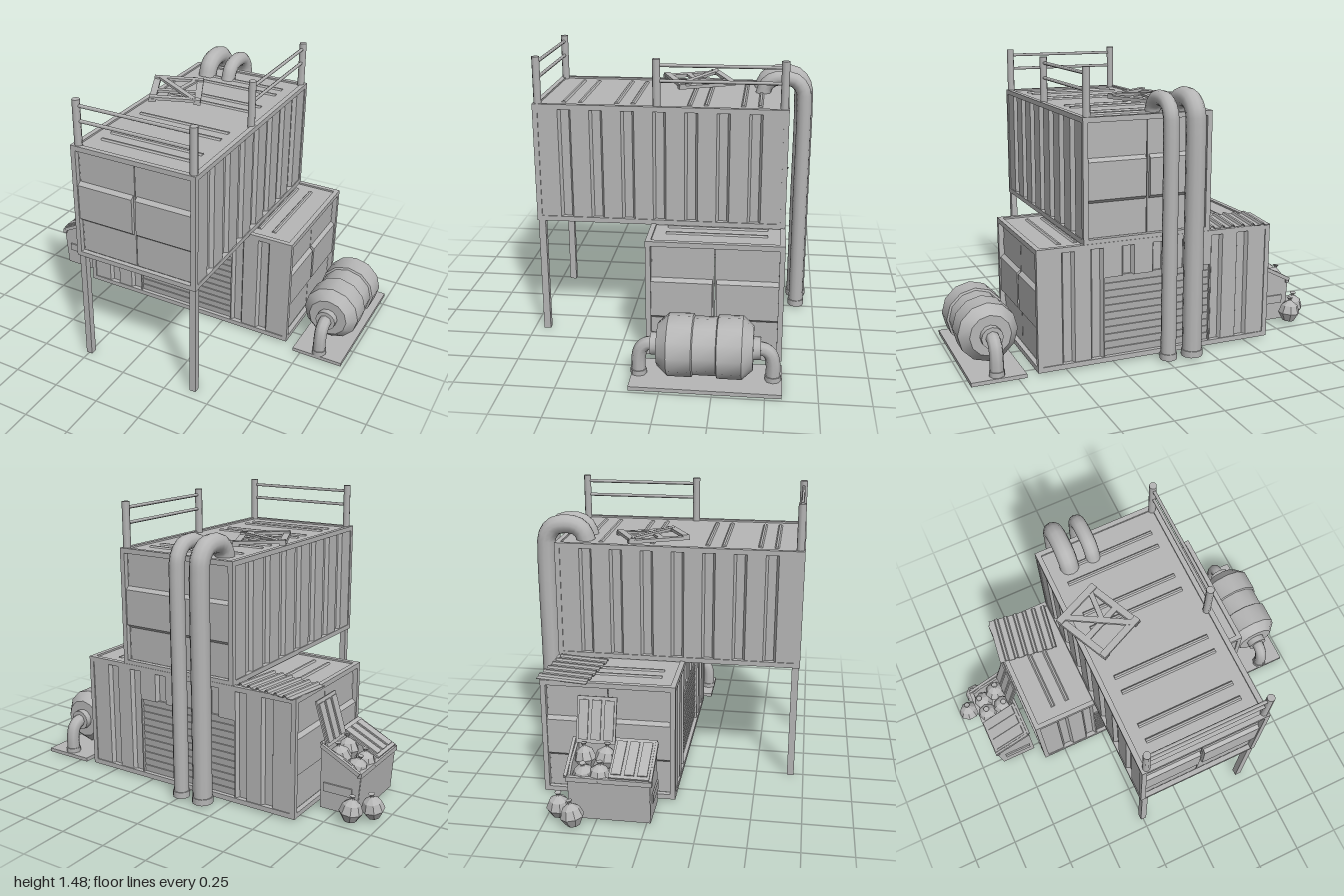
import * as THREE from 'three';
import { toCreasedNormals } from 'three/addons/utils/BufferGeometryUtils.js';

const grey = new THREE.MeshStandardMaterial({ color: 0xb6b6b6, side: THREE.DoubleSide });
grey.name = 'plainGrey';

const V = (x, y, z) => new THREE.Vector3(x, y, z);
function add(parent, name, geo, x = 0, y = 0, z = 0) {
  const m = new THREE.Mesh(geo, grey);
  m.name = name;
  m.position.set(x, y, z);
  parent.add(m);
  return m;
}
const box = (p, name, w, h, d, x, y, z) => add(p, name, new THREE.BoxGeometry(w, h, d), x, y, z);
function group(parent, name, x = 0, y = 0, z = 0, ry = 0) {
  const g = new THREE.Group();
  g.name = name;
  g.position.set(x, y, z);
  g.rotation.y = ry;
  parent.add(g);
  return g;
}
function polyShape(pts) {
  return new THREE.Shape(pts.map(([x, y]) => new THREE.Vector2(x, y)));
}
const extrude = (pts, depth) => new THREE.ExtrudeGeometry(polyShape(pts), { depth, bevelEnabled: false });

// Corrugated wall facing +z, grooves sunk inwards at the given centres
function corrugated(p, u0, u1, y0, y1, grooves, z) {
  const d = 0.02, w = 0.033, pts = [[u0, 0]];
  for (const c of grooves) pts.push([c - w, 0], [c - w + 0.012, d], [c + w - 0.012, d], [c + w, 0]);
  pts.push([u1, 0], [u1, d + 0.005], [u0, d + 0.005]);
  add(p, 'corrugatedWall', extrude(pts, y1 - y0).rotateX(-Math.PI / 2), 0, y0, z);
}

// Shipping container: long axis x, standing on y = 0
const L = 1.28, W = 0.685, H = 0.62, T = 0.026;
function container(parent, name, hasDoors) {
  const g = group(parent, name);
  const a = L / 2 - T / 2, b = W / 2 - T / 2;
  for (const s of [-1, 1]) {
    for (const y of [T / 2, H - T / 2]) {
      box(g, 'longRail', L, T, T, 0, y, s * b);
      box(g, 'crossRail', T, T, W - 2 * T, s * a, y, 0);
    }
    for (const t of [-1, 1]) box(g, 'cornerPost', T, H - 2 * T, T, s * a, H / 2, t * b);

    // long side
    const side = group(g, 'longSide', 0, 0, 0, s > 0 ? 0 : Math.PI);
    const e = L / 2 - T, z = W / 2 - 0.005, lo = T, hi = H - T;
    if (hasDoors) {
      corrugated(side, -e, -0.29, lo, hi, [-0.48, -0.33], z);
      corrugated(side, 0.29, e, lo, hi, [0.33, 0.48], z);
      corrugated(side, -0.29, 0.29, 0.44, hi, [-0.165, 0, 0.165], z);
      box(side, 'rollerDoorBacking', 0.58, 0.42, 0.006, 0, 0.23, z - 0.025);
      for (let i = 0; i < 11; i++) {
        const slat = box(side, 'rollerDoorSlat', 0.58, 0.037, 0.008, 0, 0.046 + i * 0.038, z - 0.017);
        slat.rotation.x = 0.12;
      }
    } else {
      corrugated(side, -e, e, lo, hi, [-0.48, -0.32, -0.16, 0, 0.16, 0.32, 0.48], z);
    }

    // end doors, each with a raised, sloped middle panel
    const end = group(g, 'doorEnd', 0, 0, 0, s * Math.PI / 2);
    const half = W / 2 - T;
    for (const t of [-1, 1]) {
      box(end, 'doorLeaf', half - 0.002, H - 2 * T, 0.01, t * (half / 2 + 0.001), H / 2, L / 2 - 0.032);
      const bump = extrude([[0, 0.2], [0.02, 0.217], [0.02, 0.403], [0, 0.42]], half - 0.01);
      bump.rotateY(-Math.PI / 2);
      add(end, 'doorPanel', bump, t > 0 ? half : -0.01, 0, L / 2 - 0.027);
    }
  }
  // roof with pairs of ribs
  box(g, 'roof', L - 2 * T, 0.01, W - 2 * T, 0, H - 0.014, 0);
  for (const c of [-0.455, -0.185, 0.185, 0.455]) for (const s of [-1, 1]) {
    const rib = extrude([[-0.012, 0], [0.012, 0], [0.005, 0.008], [-0.005, 0.008]], 0.51);
    add(g, 'roofRib', rib, c + s * 0.042, H - 0.009, -0.255);
  }
  return g;
}

const rod = (p, name, r, a, b, n = 8) => {
  const m = add(p, name, new THREE.CylinderGeometry(r, r, a.distanceTo(b), n));
  m.position.copy(a).add(b).multiplyScalar(0.5);
  m.quaternion.setFromUnitVectors(V(0, 1, 0), b.clone().sub(a).normalize());
  return m;
};
const tube = (p, name, pts, r, seg, n) =>
  add(p, name, new THREE.TubeGeometry(new THREE.CatmullRomCurve3(pts, false, 'centripetal'), seg, r, n));

// Tied rubbish bag
function bag(p, x, y, z, r, turn) {
  const g = group(p, 'rubbishBag', x, y, z, turn);
  g.rotation.z = 0.25 * Math.cos(turn * 3);
  const profile = [[0, -0.95], [0.55, -0.85], [1, -0.1], [0.75, 0.6], [0.2, 1], [0.14, 1.1], [0.28, 1.3], [0, 1.25]];
  const geo = new THREE.LatheGeometry(profile.map(([a, b]) => new THREE.Vector2(a * r, b * r)), 8);
  add(g, 'bag', toCreasedNormals(geo, 0.3));
}

export function createModel() {
  const model = new THREE.Group();
  model.name = 'containerBuilding';

  // Stacked containers
  container(model, 'lowerContainer', true).position.set(0.01, 0.01, -0.235);
  const upper = container(model, 'upperContainer', false);
  upper.position.set(0.067, 0.625, 0.065);
  upper.rotation.y = -Math.PI / 2;
  box(upper, 'floor', L - 2 * T, 0.01, W - 2 * T, 0, 0.012, 0);

  // Support legs
  for (const x of [-0.248, 0.39]) box(model, 'supportLeg', 0.034, 0.625, 0.036, x, 0.3125, 0.682);

  // Roof railings
  const railing = (a, b) => {
    for (const q of [a, b]) rod(model, 'railingPost', 0.02, V(q.x, 1.23, q.z), V(q.x, 1.48, q.z));
    for (const y of [1.37, 1.448]) rod(model, 'railingBar', 0.009, V(a.x, y, a.z), V(b.x, y, b.z), 6);
  };
  railing(V(-0.243, 0, 0.68), V(0.387, 0, 0.68));
  railing(V(0.382, 0, 0.08), V(0.382, 0, -0.55));

  // Vent pipes up the back and over the roof edge
  for (const [x, r] of [[-0.142, 0.05], [-0.01, 0.039]]) {
    const path = [[-0.655, 0.02], [-0.655, 0.6], [-0.655, 1.18], [-0.648, 1.25], [-0.61, 1.3],
      [-0.55, 1.314], [-0.49, 1.307], [-0.452, 1.275], [-0.435, 1.225]];
    tube(model, 'ventPipe', path.map(([z, y]) => V(x, y, z)), r, 48, 12);
    rod(model, 'pipeCollar', r + 0.005, V(x, 0.012, -0.655), V(x, 0.045, -0.655), 12);
  }

  // Storage tank on its base plate
  const tank = group(model, 'storageTank', 0.845, 0.185, -0.21);
  box(tank, 'basePlate', 0.275, 0.02, 0.73, 0, -0.175, -0.005);
  const halfProfile = [[0.055, 0.265], [0.055, 0.23], [0.105, 0.23], [0.152, 0.178], [0.152, 0.06], [0.141, 0.055]];
  const full = [[0, 0.265], ...halfProfile, ...halfProfile.slice().reverse().map(([r, z]) => [r, -z]), [0, -0.265]];
  const body = new THREE.LatheGeometry(full.reverse().map(([r, z]) => new THREE.Vector2(r, z)), 12).rotateX(Math.PI / 2);
  add(tank, 'tankBody', toCreasedNormals(body, 0.6));
  for (const s of [-1, 1]) {
    const elbow = [[0, 0.25], [-0.002, 0.28], [-0.025, 0.31], [-0.07, 0.324], [-0.165, 0.326]];
    tube(tank, 'tankElbow', elbow.map(([y, z]) => V(0, y, s * z)), 0.035, 12, 8);
    rod(tank, 'elbowFoot', 0.04, V(0, -0.167, s * 0.326), V(0, -0.14, s * 0.326));
  }

  // Rubbish skip with one lid open
  const skip = group(model, 'rubbishSkip');
  const outline = [[-0.868, 0.01], [-0.668, 0.01], [-0.668, 0.345], [-0.82, 0.285], [-0.885, 0.23]];
  for (const z of [-0.385, 0.01]) add(skip, 'skipEnd', extrude(outline, 0.012), 0, 0, z);
  box(skip, 'skipBack', 0.012, 0.335, 0.4, -0.674, 0.178, -0.18);
  box(skip, 'skipBase', 0.2, 0.012, 0.4, -0.768, 0.016, -0.18);
  const front = box(skip, 'skipFront', 0.012, 0.225, 0.4, -0.872, 0.122, -0.18);
  front.rotation.z = 0.077;
  box(skip, 'skipRim', 0.022, 0.025, 0.425, -0.88, 0.23, -0.18);
  for (const z of [-0.39, 0.028]) {
    box(skip, 'liftingPocket', 0.155, 0.045, 0.008, -0.765, 0.128, z);
    const rim = box(skip, 'skipSideRim', 0.235, 0.02, 0.016, -0.778, 0.292, z - 0.005);
    rim.rotation.z = 0.48;
  }
  function lid(name, x, y, z, tilt) {
    const g = group(skip, name, x, y, z);
    g.rotation.z = tilt;
    box(g, 'lidPlate', 0.235, 0.01, 0.2, 0.1175, 0, 0);
    for (const dz of [-0.065, 0, 0.065]) box(g, 'lidRib', 0.2, 0.012, 0.048, 0.118, 0.006, dz);
  }
  lid('closedLid', -0.885, 0.25, -0.082, 0.46);
  lid('openLid', -0.7, 0.335, -0.283, 1.27);
  rod(skip, 'lidHinge', 0.01, V(-0.67, 0.35, -0.385), V(-0.67, 0.35, 0.025), 6);
  [[-0.83, 0.23, -0.315], [-0.745, 0.28, -0.325], [-0.835, 0.235, -0.235], [-0.735, 0.28, -0.225]]
    .forEach(([x, y, z], i) => bag(model, x, y, z, 0.058, i * 0.8));
  bag(model, -0.865, 0.066, -0.44, 0.06, 0.4);
  bag(model, -0.94, 0.066, -0.352, 0.06, 1.3);

  // Loose corrugated sheet on the lower roof
  const sheet = group(model, 'corrugatedSheet', -0.473, 0.633, -0.445, -0.14);
  const top = [], n = 6, step = 0.33 / n;
  for (let i = 0; i < n; i++) {
    const x = -0.165 + i * step;
    top.push([x, 0], [x + 0.03, 0], [x + 0.036, 0.011], [x + 0.049, 0.011]);
  }
  top.push([0.165, 0]);
  const under = top.slice().reverse().map(([x, y]) => [x, y - 0.004]);
  add(sheet, 'sheet', extrude([...top, ...under], 0.265), 0, 0, -0.1325);

  // Broken wooden frame lying on the upper roof
  const frame = group(model, 'woodenFrame', -0.14, 1.268, -0.085, 0.44);
  frame.rotation.z = -0.05;
  for (const s of [-1, 1]) {
    box(frame, 'longPlank', 0.035, 0.018, 0.32, s * 0.118, 0, 0);
    box(frame, 'shortPlank', 0.27, 0.016, 0.035, 0, 0.01, s * 0.14);
  }
  box(frame, 'middlePlank', 0.23, 0.014, 0.03, 0, 0.002, 0.02);
  box(frame, 'diagonalPlank', 0.03, 0.014, 0.34, 0, 0.012, 0).rotation.y = 0.62;
  box(frame, 'diagonalPlank', 0.026, 0.012, 0.17, 0.055, 0.01, -0.06).rotation.y = -0.5;

  return model;
}
